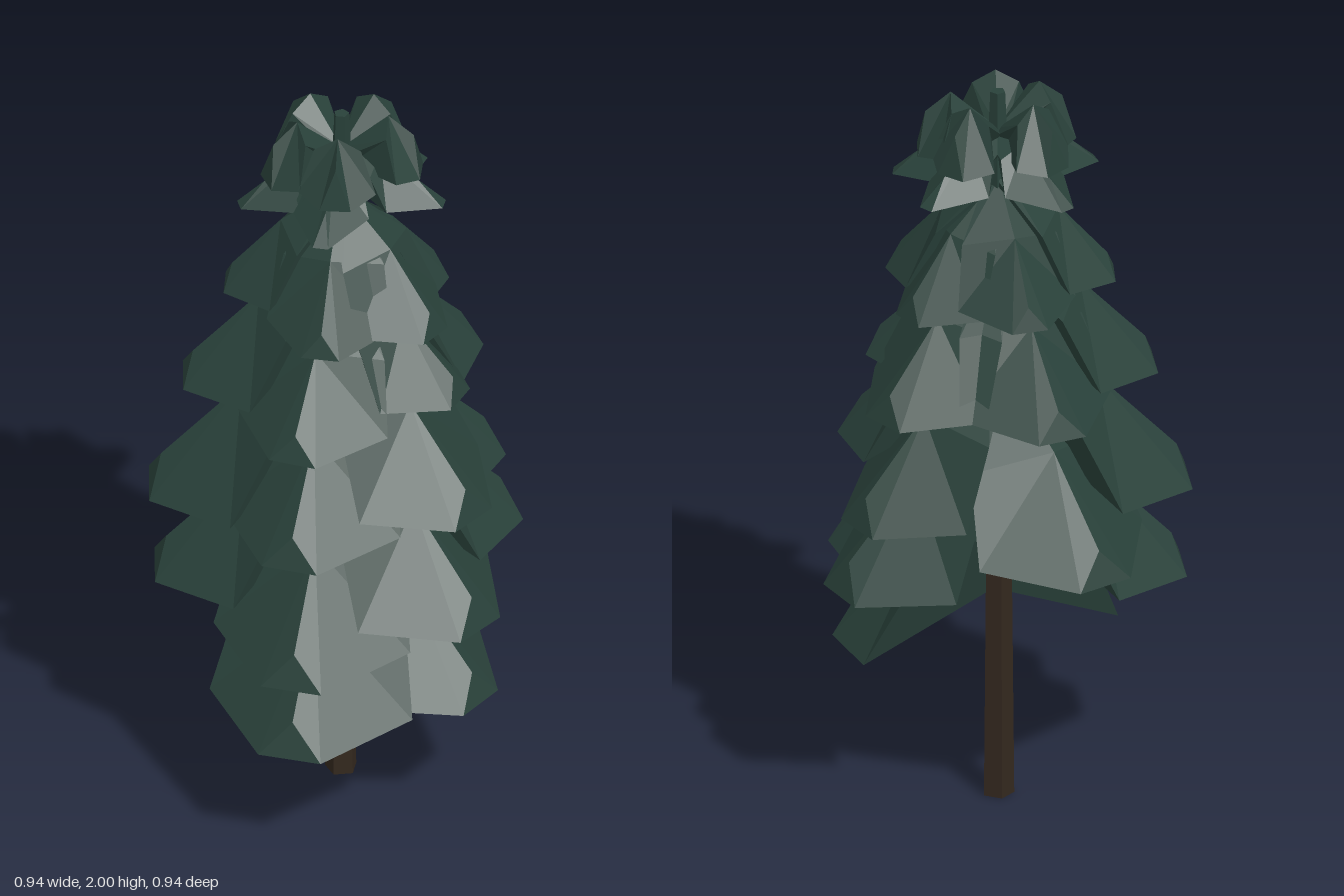
import * as THREE from 'three';

const needles = new THREE.MeshStandardMaterial({ color: 0x29413a, flatShading: true });
needles.name = 'pine green';
const bark = new THREE.MeshStandardMaterial({ color: 0x33281e, flatShading: true });
bark.name = 'bark brown';

// One half of a branch as [reach, height, sideways] points:
// A, B, C run along the ridge; G, F, E, D along the rim; H lies underneath.
const wideBranch = {
  A: [0.02, 0.45, 0], B: [0.25, 0.295, 0], C: [0.45, 0.09, 0],
  G: [0.0, 0.43, 0.06], F: [0.17, 0.26, 0.21], E: [0.28, 0.035, 0.26], D: [0.48, 0, 0.08],
  H: [0.02, 0.22, 0],
};
const archedBranch = {
  A: [0.0, 0.13, 0], B: [0.12, 0.235, 0], C: [0.185, 0.18, 0],
  G: [0.0, 0.11, 0.02], F: [0.12, 0.2, 0.06], E: [0.15, 0.09, 0.1], D: [0.205, 0.07, 0.04],
  H: [0.02, 0.08, 0],
};
const spikyBranch = {
  A: [0.0, 0.14, 0], B: [0.1, 0.13, 0], C: [0.2, 0.065, 0],
  G: [0.0, 0.12, 0.04], F: [0.09, 0.1, 0.07], E: [0.14, 0.02, 0.1], D: [0.268, 0, 0.02],
  H: [0.0, 0.05, 0],
};
const halfFaces = ['AGF', 'AFB', 'BFE', 'BED', 'BDC', 'HDE', 'HEF', 'HFG'];

// Mirrors the half branch and closes the tip
function branchGeometry(p) {
  const pos = [];
  const mirror = ([x, y, z]) => [x, y, -z];
  for (const face of halfFaces) {
    const [a, b, c] = [...face].map((k) => p[k]);
    pos.push(...a, ...b, ...c, ...mirror(a), ...mirror(c), ...mirror(b));
  }
  const D2 = mirror(p.D);
  pos.push(...p.C, ...p.D, ...D2, ...p.H, ...D2, ...p.D);
  const geo = new THREE.BufferGeometry();
  geo.setAttribute('position', new THREE.Float32BufferAttribute(pos, 3));
  geo.computeVertexNormals();
  return geo;
}

export function createModel() {
  const tree = new THREE.Group();
  tree.name = 'pineTree';

  // Trunk and its green top
  const trunk = new THREE.Mesh(new THREE.CylinderGeometry(0.026, 0.042, 1.7, 5), bark);
  trunk.name = 'trunk';
  trunk.position.y = 0.85;
  trunk.rotation.y = 0.3;
  const leader = new THREE.Mesh(new THREE.CylinderGeometry(0.02, 0.036, 0.35, 5), needles);
  leader.name = 'leader';
  leader.position.y = 1.825;
  tree.add(trunk, leader);

  const addBranch = (name, geo, degrees, y, scale, lift = scale) => {
    const m = new THREE.Mesh(geo, needles);
    m.name = name;
    m.position.y = y;
    m.rotation.y = -THREE.MathUtils.degToRad(degrees);
    m.scale.set(scale, lift, scale);
    tree.add(m);
  };

  // Drooping branches, in five columns from low to high: direction, tip height, size, lift
  const wide = branchGeometry(wideBranch);
  const branches = [
    [60, 0.34, 1.03], [60, 0.54, 1], [62, 0.88, 0.92], [64, 1.16, 0.78], [55, 1.44, 0.62, 0.7],
    [-9, 0.37, 0.92], [-5, 0.62, 0.97], [-6, 0.94, 0.91], [-20, 1.22, 0.7], [-8, 1.44, 0.63, 0.7],
    [134, 0.62, 0.99], [134, 0.87, 1.02], [134, 1.2, 0.84], [138, 1.47, 0.62, 0.67],
    [196, 0.78, 0.98], [207, 1.18, 0.82], [215, 1.45, 0.6, 0.68],
    [291, 0.68, 0.98], [288, 0.87, 0.9], [280, 1.18, 0.82], [285, 1.43, 0.6, 0.7],
  ];
  for (const [degrees, y, size, lift] of branches) addBranch('branch', wide, degrees, y, size, lift);

  // Crown: a raised ring of arched branches above a ring of spiky ones
  const arched = branchGeometry(archedBranch);
  const spiky = branchGeometry(spikyBranch);
  for (const degrees of [56, 121, 190, 275, 327]) {
    addBranch('crownBranch', arched, degrees - 7, 1.765, 1);
    addBranch('lowerCrownBranch', spiky, degrees, 1.76, 1);
  }
  return tree;
}
